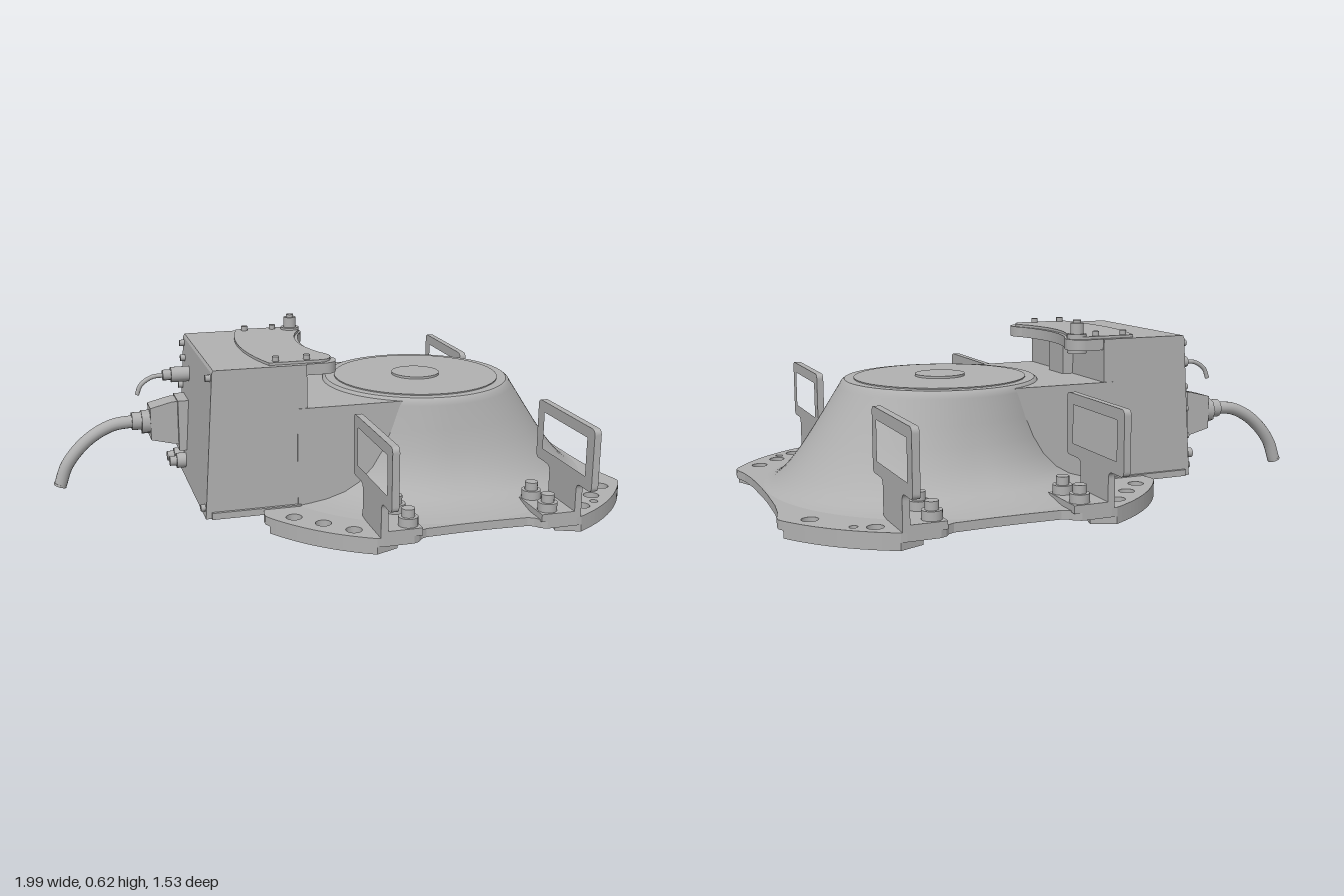
import * as THREE from 'three';

const grey = new THREE.MeshStandardMaterial({ color: 0xb0b0b0 });
grey.name = 'machine grey';
const CX = 0.33; // axis of the round housing

export function createModel() {
  const root = new THREE.Group();
  root.name = 'turntableBase';

  const add = (name, geo, parent = root) => {
    const m = new THREE.Mesh(geo, grey);
    m.name = name;
    parent.add(m);
    return m;
  };
  const poly = pts => new THREE.Shape(pts.map(p => new THREE.Vector2(p[0], p[1])));
  const circle = (x, y, r) => new THREE.Path().absarc(x, y, r, 0, Math.PI * 2, true);
  // horizontal slab from an x/z outline
  const slab = (shape, y0, y1) =>
    new THREE.ExtrudeGeometry(shape, { depth: y1 - y0, bevelEnabled: false, curveSegments: 20 })
      .rotateX(Math.PI / 2).translate(0, y1, 0);
  const box = (name, x0, x1, y0, y1, z0, z1, parent) =>
    add(name, new THREE.BoxGeometry(x1 - x0, y1 - y0, z1 - z0)
      .translate((x0 + x1) / 2, (y0 + y1) / 2, (z0 + z1) / 2), parent);
  const upright = (name, x, z, r, y0, y1, n = 24, parent = root) =>
    add(name, new THREE.CylinderGeometry(r, r, y1 - y0, n).translate(x, (y0 + y1) / 2, z), parent);
  const along = (name, x0, x1, y, z, r, n = 20) =>
    add(name, new THREE.CylinderGeometry(r, r, x1 - x0, n).rotateZ(Math.PI / 2)
      .translate((x0 + x1) / 2, y, z));

  // mounting holes of one corner
  const cornerHoles = (sx, sz) => {
    const list = [[0.41, 0.57, 0.027], [0.57, 0.408, 0.027]];
    if (!(sx > 0 && sz < 0)) list.push([0.49, 0.487, 0.027]);
    if (sx > 0) list.push([0.47, 0.543, 0.014]);
    return list.map(([d, z, r]) => circle(CX + sx * d, sz * z, r));
  };

  // base plate, one quarter outline mirrored four ways
  const arc = new THREE.QuadraticBezierCurve(new THREE.Vector2(0.65, 0.395),
    new THREE.Vector2(0.54, 0.57), new THREE.Vector2(0.36, 0.663)).getPoints(14).map(p => [p.x, p.y]);
  const quarter = [[0.63, 0.05], [0.635, 0.2], [0.645, 0.29], [0.66, 0.35], [0.66, 0.375], ...arc,
    [0.34, 0.665], [0.235, 0.665], [0.215, 0.655], [0.2, 0.635], [0.18, 0.625], [0.05, 0.62]];
  const flip = (sx, sz) => quarter.map(([d, z]) => [CX + sx * d, sz * z]);
  const plate = poly([...flip(1, 1), ...flip(-1, 1).reverse(), ...flip(-1, -1), ...flip(1, -1).reverse()]);
  for (const sx of [1, -1]) for (const sz of [1, -1]) plate.holes.push(...cornerHoles(sx, sz));
  add('basePlate', slab(plate, 0.025, 0.055));

  // corner foot pads with sloping inner edges
  for (const sx of [1, -1]) for (const sz of [1, -1]) {
    const inner = [[0.28, 0.63], [0.3, 0.55], [0.35, 0.49], [0.49, 0.35], [0.54, 0.32], [0.62, 0.33]];
    const pad = poly([...arc, ...inner].map(([d, z]) => [CX + sx * d, sz * z]));
    pad.holes.push(...cornerHoles(sx, sz));
    add('footPad', slab(pad, 0, 0.026));
    const lip = poly([...arc, ...inner.map(([d, z]) => [d - 0.025, z - 0.025])]
      .map(([d, z]) => [CX + sx * d, sz * z]));
    lip.holes.push(...cornerHoles(sx, sz));
    add('footPadStep', slab(lip, 0.013, 0.026));
  }

  // flared housing: rings of [y, side radius, front radius], blended around the axis
  const rings = [[0.41, 0.335, 0.335], [0.403, 0.345, 0.345], [0.385, 0.35, 0.356], [0.3, 0.365, 0.412],
    [0.23, 0.382, 0.458], [0.17, 0.405, 0.5], [0.12, 0.438, 0.54], [0.09, 0.475, 0.568],
    [0.07, 0.525, 0.592], [0.06, 0.575, 0.61], [0.054, 0.618, 0.625]];
  const N = 96, pos = [], idx = [];
  rings.forEach(([y, a, b], i) => {
    for (let j = 0; j < N; j++) {
      const t = j / N * Math.PI * 2, w = Math.max(0, Math.cos(t)) ** 1.5;
      const r = a + (b - a) * w;
      pos.push(CX + r * Math.cos(t), y, r * Math.sin(t));
      if (i) {
        const k = (j + 1) % N, u = (i - 1) * N, v = i * N;
        idx.push(u + j, u + k, v + j, u + k, v + k, v + j);
      }
    }
  });
  const flare = new THREE.BufferGeometry();
  flare.setAttribute('position', new THREE.Float32BufferAttribute(pos, 3));
  flare.setIndex(idx);
  flare.computeVertexNormals();
  add('flaredHousing', flare);
  upright('housingRim', CX, 0, 0.335, 0.38, 0.41, 96);
  upright('topDisc', CX, 0, 0.302, 0.4, 0.414, 96);
  upright('hub', CX, 0, 0.088, 0.4, 0.422, 48);

  // neck joining the housing to the cabinet
  box('neck', -0.2, 0.18, 0.04, 0.4, -0.308, 0.308);

  // cabinet with leaning back panel
  const cabinet = poly([[-0.52, 0.037], [-0.165, 0.037], [-0.165, 0.55], [-0.482, 0.55], [-0.487, 0.54]]);
  add('cabinet', new THREE.ExtrudeGeometry(cabinet, { depth: 0.61, bevelEnabled: false }).translate(0, 0, -0.305));
  box('cabinetColumn', -0.17, -0.125, 0.395, 0.515, -0.06, 0.06);
  for (const s of [1, -1])
    box('cabinetSideRail', -0.5, -0.19, 0.037, 0.06, s * 0.31 - 0.006, s * 0.31 + 0.006);

  // overhanging top and its cover, both with a hollow front edge
  const hollow = (x, z, back) => {
    const s = new THREE.Shape();
    s.moveTo(back, -z);
    s.lineTo(x - 0.05, -z);
    s.quadraticCurveTo(x - 0.01, -z, x, -z + 0.05);
    s.quadraticCurveTo(x, -z + 0.08, x - 0.02, -z + 0.11);
    s.quadraticCurveTo(x - 0.09, 0, x - 0.02, z - 0.11);
    s.quadraticCurveTo(x, z - 0.08, x, z - 0.05);
    s.quadraticCurveTo(x - 0.01, z, x - 0.05, z);
    s.lineTo(back, z);
    return s;
  };
  add('cabinetTop', slab(hollow(-0.05, 0.298, -0.3), 0.512, 0.55));
  const cover = hollow(-0.065, 0.283, -0.29);
  cover.quadraticCurveTo(-0.38, 0, -0.29, -0.283);
  add('cabinetCover', slab(cover, 0.545, 0.559));
  for (const x of [-0.262, -0.155]) for (const z of [-0.26, 0.26])
    upright('coverBolt', x, z, 0.012, 0.55, 0.575, 12);
  upright('knobFlange', -0.09, -0.243, 0.034, 0.5, 0.567);
  upright('knob', -0.09, -0.243, 0.023, 0.56, 0.605);
  upright('knobTip', -0.09, -0.243, 0.014, 0.6, 0.615);

  // main plug, gland and cable
  const plugShape = poly([[-0.5, 0.16], [-0.5, 0.33], [-0.56, 0.33], [-0.64, 0.31], [-0.64, 0.19], [-0.56, 0.17]]);
  add('mainPlug', new THREE.ExtrudeGeometry(plugShape, { depth: 0.09, bevelEnabled: false }).translate(0, 0, -0.24));
  box('plugFlange', -0.54, -0.49, 0.145, 0.335, -0.255, -0.135);
  along('cableGland', -0.67, -0.63, 0.25, -0.195, 0.045, 8);
  along('cableGlandNut', -0.705, -0.67, 0.255, -0.195, 0.033);
  const tube = (name, pts, r) => add(name, new THREE.TubeGeometry(
    new THREE.CatmullRomCurve3(pts.map(p => new THREE.Vector3(...p))), 40, r, 14));
  const Z = -0.193;
  tube('mainCable', [[-0.69, 0.256, Z], [-0.78, 0.245, Z], [-0.87, 0.195, Z], [-0.945, 0.11, Z], [-0.976, 0.03, Z]], 0.023);
  add('cableEnd', new THREE.CylinderGeometry(0.023, 0.023, 0.008, 14).rotateZ(-0.35).translate(-0.976, 0.034, Z));

  // signal plug, thin cable and lower socket
  along('signalPlug', -0.56, -0.48, 0.432, -0.155, 0.028);
  along('signalPlugNut', -0.59, -0.56, 0.432, -0.155, 0.02, 8);
  tube('signalCable', [[-0.58, 0.432, -0.155], [-0.63, 0.427, -0.155], [-0.67, 0.4, -0.155], [-0.685, 0.365, -0.155]], 0.008);
  for (const z of [-0.16, -0.225]) {
    along('lowerSocket', -0.55, -0.49, 0.1, z, 0.028);
    along('lowerSocketCap', -0.575, -0.55, 0.1, z, 0.018);
  }
  // small screws and studs on the back panel
  for (const [y, z] of [[0.52, -0.28], [0.52, 0.28], [0.07, -0.28], [0.07, 0.28], [0.47, -0.25], [0.4, -0.25], [0.36, -0.28], [0.28, -0.28], [0.18, -0.28]])
    along('panelScrew', -0.535 + (y - 0.04) * 0.06, -0.47, y, z, 0.012, 10);

  // lifting handles: frame with window, stem, foot plate and bolts
  const frame = new THREE.Shape();
  frame.moveTo(0.47, 0.055);
  frame.lineTo(0.47, 0.15);
  frame.quadraticCurveTo(0.47, 0.175, 0.445, 0.175);
  frame.lineTo(0.385, 0.175);
  frame.quadraticCurveTo(0.365, 0.175, 0.365, 0.195);
  frame.lineTo(0.365, 0.368);
  frame.quadraticCurveTo(0.365, 0.388, 0.385, 0.388);
  frame.lineTo(0.745, 0.388);
  frame.quadraticCurveTo(0.765, 0.388, 0.765, 0.368);
  frame.lineTo(0.765, 0.195);
  frame.quadraticCurveTo(0.765, 0.175, 0.745, 0.175);
  frame.lineTo(0.69, 0.175);
  frame.quadraticCurveTo(0.665, 0.175, 0.665, 0.15);
  frame.lineTo(0.665, 0.055);
  frame.holes.push(new THREE.Path([[0.412, 0.218], [0.412, 0.35], [0.718, 0.35], [0.718, 0.218]]
    .map(p => new THREE.Vector2(...p))));
  for (const [x, s] of [[-0.007, 1], [0.673, -1]]) for (const sz of [1, -1]) {
    const g = new THREE.Group();
    g.name = 'liftingHandle';
    root.add(g);
    const f = new THREE.ExtrudeGeometry(frame, { depth: 0.024, bevelEnabled: false })
      .translate(0, 0, -0.012).rotateY(-Math.PI / 2);
    if (sz < 0) f.rotateY(Math.PI);
    add('handleFrame', f.translate(x, 0, 0), g);
    const xe = x + s * 0.13;
    box('handleFoot', Math.min(x, xe), Math.max(x, xe), 0.05, 0.076,
      Math.min(sz * 0.47, sz * 0.665), Math.max(sz * 0.47, sz * 0.665), g);
    for (const z of [0.5, 0.625]) {
      upright('boltWasher', x + s * 0.093, sz * z, 0.033, 0.07, 0.106, 20, g);
      upright('boltHead', x + s * 0.093, sz * z, 0.022, 0.1, 0.134, 16, g);
    }
  }
  return root;
}
